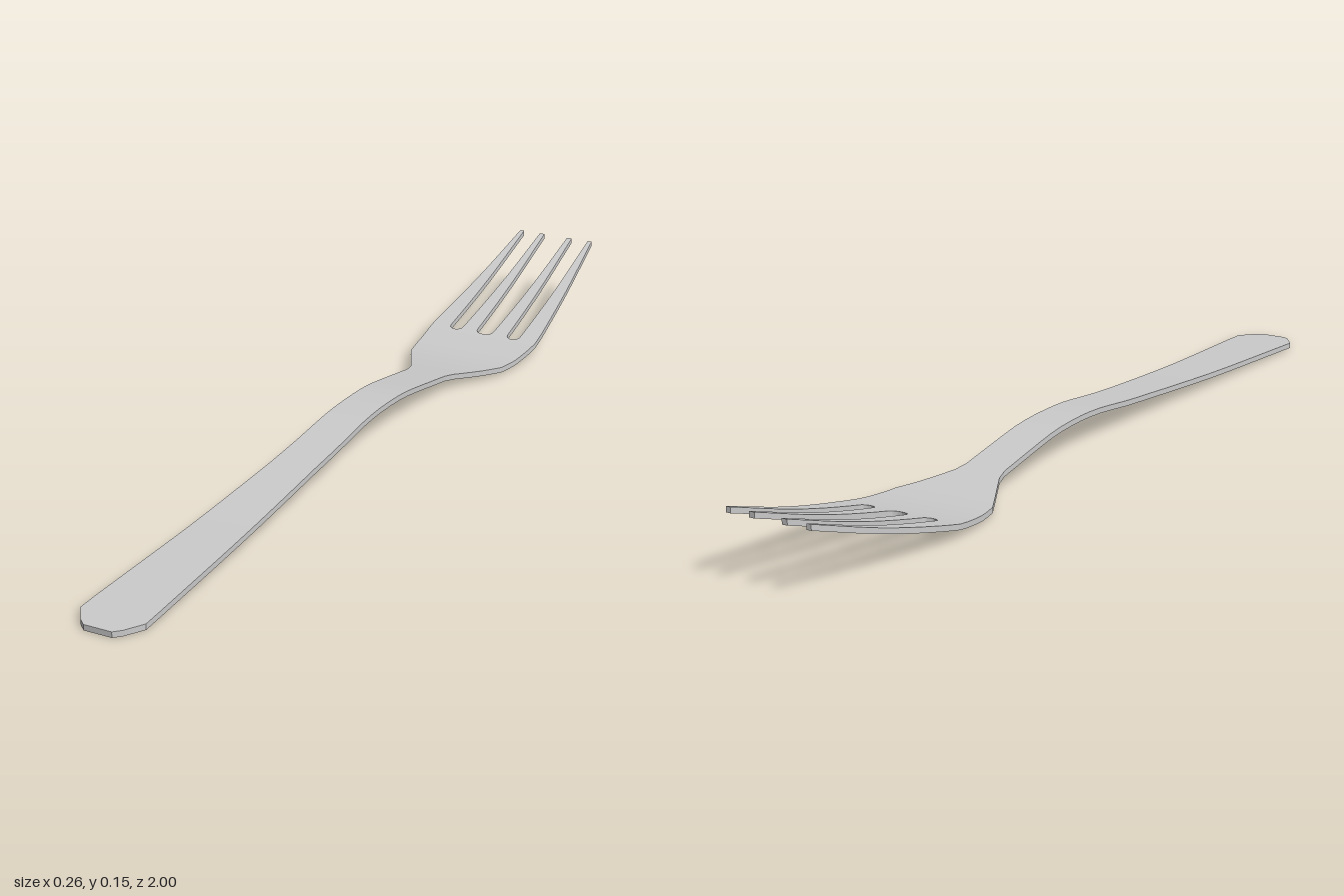
import * as THREE from 'three';
import { toCreasedNormals } from 'three/addons/utils/BufferGeometryUtils.js';

const THICK = 0.012;

// Height of the mid-surface along the length: [z, y]
const HEIGHT = [
  [1, 0.007], [0.9, 0.012], [0.6, 0.025], [0.4, 0.038], [0.2, 0.054], [0.08, 0.067],
  [0, 0.07], [-0.1, 0.066], [-0.2, 0.051], [-0.3, 0.034], [-0.4, 0.019], [-0.47, 0.014],
  [-0.53, 0.017], [-0.6, 0.028], [-0.8, 0.079], [-1, 0.143],
];

// Half-width of the outline: [z, halfWidth]
const OUTLINE = [
  [1, 0.03], [0.987, 0.045], [0.95, 0.07], [0.9, 0.069], [0.6, 0.058], [0.3, 0.048], [0, 0.044],
  [-0.3, 0.046], [-0.33, 0.053], [-0.36, 0.068], [-0.45, 0.114], [-0.5, 0.123],
  [-0.59, 0.132], [-0.63, 0.13], [-0.8, 0.114], [-1, 0.094],
];

const SLOT_END = -0.592; // closed end of the slots
const BODY_END = -0.59;

function findSpan(table, z) {
  let i = 0;
  while (i < table.length - 2 && z < table[i + 1][0]) i++;
  return i;
}

function linear(table, z) {
  const i = findSpan(table, z);
  const [z0, v0] = table[i], [z1, v1] = table[i + 1];
  return v0 + (v1 - v0) * (z - z0) / (z1 - z0);
}

// Smooth cubic interpolation through the table
function smooth(table, z) {
  const slope = (k) => {
    const a = table[Math.max(k - 1, 0)], b = table[Math.min(k + 1, table.length - 1)];
    return (b[1] - a[1]) / (b[0] - a[0]);
  };
  const i = findSpan(table, z);
  const [z0, v0] = table[i], [z1, v1] = table[i + 1];
  const h = z1 - z0, t = (z - z0) / h, t2 = t * t, t3 = t2 * t;
  return (2 * t3 - 3 * t2 + 1) * v0 + (t3 - 2 * t2 + t) * h * slope(i)
    + (3 * t2 - 2 * t3) * v1 + (t3 - t2) * h * slope(i + 1);
}

// Evenly spaced stations plus the outline's own corners, front to back
function stations(from, to, step, extra = []) {
  const zs = [from, to, ...extra, ...OUTLINE.map((p) => p[0]).filter((z) => z < from && z > to)];
  for (let z = from - step; z > to + step / 2; z -= step) zs.push(z);
  return zs.sort((a, b) => b - a).filter((z, i, all) => i === 0 || all[i - 1] - z > 1e-5);
}

// Bent ribbon of even thickness; edges(z) gives [xMin, xMax]
function ribbon(name, zs, edges, capStart, capEnd) {
  const pos = [];
  const quad = (a, b, c, d) => pos.push(...a, ...b, ...c, ...a, ...c, ...d);
  const rows = zs.map((z) => {
    const y = smooth(HEIGHT, z), [a, b] = edges(z), t = THICK / 2;
    return [[a, y + t, z], [b, y + t, z], [b, y - t, z], [a, y - t, z]];
  });
  for (let i = 0; i < rows.length - 1; i++) {
    const p = rows[i], q = rows[i + 1];
    for (let k = 0; k < 4; k++) {
      const n = (k + 1) % 4;
      quad(p[k], p[n], q[n], q[k]);
    }
  }
  const first = rows[0], last = rows[rows.length - 1];
  if (capStart) quad(first[3], first[2], first[1], first[0]);
  if (capEnd) quad(...last);
  const geo = new THREE.BufferGeometry();
  geo.setAttribute('position', new THREE.Float32BufferAttribute(pos, 3));
  const mesh = new THREE.Mesh(
    toCreasedNormals(geo, 0.6),
    new THREE.MeshStandardMaterial({ color: 0xcccccc }),
  );
  mesh.name = name;
  return mesh;
}

// A slot edge: rounded closed end, then a straight run from base to tip
function slotEdge(z, centre, base, tip) {
  const depth = 0.014;
  const s = THREE.MathUtils.clamp((SLOT_END - z) / depth, 0, 1);
  const round = Math.sqrt(1 - (1 - s) ** 2);
  const t = Math.max(0, (z + 0.6) / -0.4);
  return centre + (base + (tip - base) * t - centre) * round;
}

export function createModel() {
  const fork = new THREE.Group();
  fork.name = 'fork';

  // Handle and the flared head
  const full = (z) => [-linear(OUTLINE, z), linear(OUTLINE, z)];
  fork.add(ribbon('handle', stations(1, -0.3, 0.04), full, true, false));
  fork.add(ribbon('head', stations(-0.3, BODY_END, 0.02), full, false, false));

  // Four tines, mirrored in pairs, separated by round-ended slots
  const slotRows = [0, 0.0008, 0.0025, 0.005, 0.009, 0.014].map((d) => SLOT_END - d);
  const zs = stations(BODY_END, -1, 0.03, slotRows);
  const sideSlot = 0.0725;
  const inner = (z) => [slotEdge(z, 0, 0.02, 0.03), slotEdge(z, sideSlot, 0.057, 0.042)];
  const outer = (z) => [slotEdge(z, sideSlot, 0.088, 0.084), linear(OUTLINE, z)];
  for (const [label, edges] of [['inner', inner], ['outer', outer]]) {
    const mirrored = (z) => edges(z).map((x) => -x).reverse();
    fork.add(ribbon(`${label}TineLeft`, zs, edges, false, true));
    fork.add(ribbon(`${label}TineRight`, zs, mirrored, false, true));
  }
  return fork;
}
